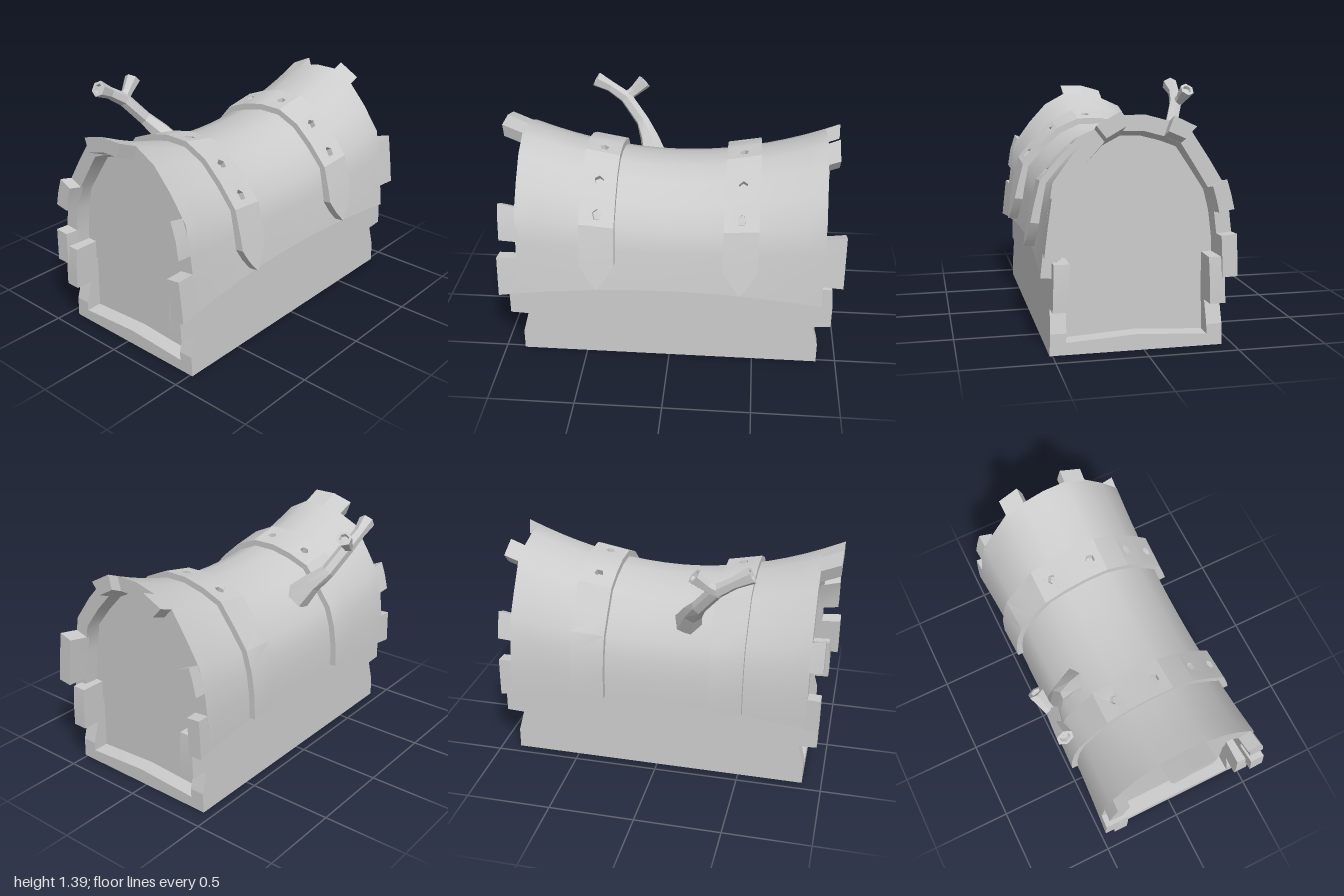
import * as THREE from 'three';
import { mergeGeometries, toCreasedNormals } from 'three/addons/utils/BufferGeometryUtils.js';

// Lid profile at the ends as [z, y], from the front edge over the top to the back edge
const PROFILE = [
  [0.56, 0.43], [0.545, 0.56], [0.52, 0.75], [0.49, 0.93], [0.38, 1.08],
  [0.27, 1.2], [0.14, 1.27], [0, 1.27], [-0.13, 1.235], [-0.25, 1.18],
  [-0.35, 1.03], [-0.43, 0.9], [-0.465, 0.76], [-0.485, 0.6], [-0.49, 0.41],
];
const LAST = PROFILE.length - 1;
const NORMALS = PROFILE.map((_, i) => {
  const a = PROFILE[Math.max(i - 1, 0)], b = PROFILE[Math.min(i + 1, LAST)];
  const dz = b[0] - a[0], dy = b[1] - a[1], l = Math.hypot(dz, dy);
  return [dy / l, -dz / l];
});
const lerp = THREE.MathUtils.lerp;

// Point on the saddle-shaped lid: x along it, t around the profile, off outwards
function lidPoint(x, t, off) {
  const i = Math.min(Math.floor(t), LAST - 1), f = t - i;
  const mix = (list, c) => lerp(list[i][c], list[i + 1][c], f);
  const k = 1 - (x / 0.88) ** 2;
  const y = mix(PROFILE, 1), z = mix(PROFILE, 0) * (1 - 0.06 * k);
  const sagY = lerp(y, 0.47 + (y - 0.43) * 0.738, k);
  return new THREE.Vector3(x, sagY + off * mix(NORMALS, 1), z + off * mix(NORMALS, 0));
}

// Moves every vertex of a geometry by a rule
function warp(geo, rule) {
  const p = geo.attributes.position;
  for (let i = 0; i < p.count; i++) {
    const v = rule(p.getX(i), p.getY(i), p.getZ(i));
    p.setXYZ(i, v.x, v.y, v.z);
  }
  return geo;
}

// Curved slab of the lid between x0..x1 and t0..t1
function lidSlab(x0, x1, t0, t1, nx, nt, inner, outer) {
  const g = new THREE.BoxGeometry(x1 - x0, t1 - t0, outer - inner, nx, nt, 1);
  g.translate((x0 + x1) / 2, (t0 + t1) / 2, (inner + outer) / 2);
  return warp(g, lidPoint);
}

const shapeOf = (pts) => new THREE.Shape(pts.map(([a, b]) => new THREE.Vector2(a, b)));
const extrude = (shape, depth) =>
  new THREE.ExtrudeGeometry(shape, { depth, bevelEnabled: false });

// Extrudes a [z, y] outline along x
function acrossX(pts, x0, x1) {
  const g = extrude(shapeOf(pts.map(([z, y]) => [-z, y])), x1 - x0);
  return g.rotateY(Math.PI / 2).translate(x0, 0, 0);
}

// Strap bent over the lid, cell by cell, with pentagonal nail holes
function strapGeometry(cx) {
  const holes = [3.4, 4.68, 6.45, 8.3];
  const stops = [0.3, 1, 1.5, 2, 3, 4, 5, 6, 7, 8, 9, 10, 11, 12, 13, 13.95];
  const half = (t) => 0.1 * Math.min(1, Math.max(0.02, (t - 0.3) / 1.2));
  const cells = [];
  for (let i = 0; i < stops.length - 1; i++) {
    const a = stops[i], b = stops[i + 1], wa = half(a), wb = half(b);
    const shape = shapeOf([[cx - wa, a], [cx + wa, a], [cx + wb, b], [cx - wb, b]]);
    for (const h of holes.filter((t) => t > a && t < b)) {
      const ring = [];
      for (let k = 0; k < 5; k++) {
        const q = (k / 5) * Math.PI * 2 + 0.3;
        ring.push(new THREE.Vector2(cx + 0.028 * Math.cos(q), h + 0.2 * Math.sin(q)));
      }
      shape.holes.push(new THREE.Path(ring));
    }
    cells.push(extrude(shape, 1));
  }
  // Thicker towards the pointed tip
  return warp(mergeGeometries(cells), (x, t, d) =>
    lidPoint(x, t, lerp(-0.01, 0.038 + 0.025 * Math.max(0, 1 - t / 3), d)));
}

// Faceted limb through [x, y, z, radius] points, ending in a hollowed cut
function limbGeometry(path, sides = 6) {
  const pts = path.map(([x, y, z]) => new THREE.Vector3(x, y, z));
  const n = pts.length, rings = [];
  for (let i = 0; i < n; i++) {
    const dir = pts[Math.min(i + 1, n - 1)].clone().sub(pts[Math.max(i - 1, 0)]).normalize();
    rings.push({ c: pts[i], r: path[i][3], dir });
  }
  const { c, r, dir } = rings[n - 1];
  const back = c.clone().addScaledVector(dir, -0.02);
  rings.push({ c, r: r * 0.62, dir }, { c: back, r: r * 0.5, dir }, { c: back, r: 0.0005, dir });
  const pos = [], index = [];
  rings.forEach((ring, i) => {
    const u = new THREE.Vector3(0, 0, 1).cross(ring.dir).normalize();
    const v = ring.dir.clone().cross(u);
    for (let k = 0; k < sides; k++) {
      const q = (k / sides) * Math.PI * 2;
      const p = ring.c.clone().addScaledVector(u, ring.r * Math.cos(q)).addScaledVector(v, ring.r * Math.sin(q));
      pos.push(p.x, p.y, p.z);
      if (i) {
        const a = (i - 1) * sides + k, b = (i - 1) * sides + ((k + 1) % sides);
        index.push(a, b, b + sides, a, b + sides, a + sides);
      }
    }
  });
  const g = new THREE.BufferGeometry();
  g.setAttribute('position', new THREE.Float32BufferAttribute(pos, 3));
  g.setIndex(index);
  return toCreasedNormals(g, 0.1);
}

export function createModel() {
  const group = new THREE.Group();
  const material = new THREE.MeshStandardMaterial({ color: 0xcccccc });
  const add = (name, geo, crease = 0.2) => {
    const mesh = new THREE.Mesh(toCreasedNormals(geo, crease), material);
    mesh.name = name;
    group.add(mesh);
  };

  // Base widens slightly towards the floor
  const taper = (geo) => warp(geo, (x, y, z) =>
    new THREE.Vector3(x, y, 0.037 + (z - 0.037) * (1 + 0.035 * (1 - y / 0.47))));
  const front = 0.5, rear = -0.425;
  add('baseBody', taper(acrossX([[front, 0], [front, 0.47], [rear, 0.47], [rear, 0]], -0.79, 0.79)));
  for (const s of [-1, 1]) {
    const side = s < 0 ? 'right' : 'left';
    // Sill and corner posts framing the recessed end
    const sill = [[front, 0], [0.46, 0.065], [0.04, 0.09], [-0.37, 0.065], [rear, 0]];
    add(side + 'Sill', taper(acrossX(sill, s < 0 ? -0.885 : 0.78, s < 0 ? -0.78 : 0.885)));
    const post = [[0.78, 0], [0.885, 0], [0.885, 0.12], [0.85, 0.25], [0.955, 0.255],
      [0.955, 0.4], [0.945, 0.51], [0.78, 0.51]].map(([x, y]) => [x * s, y]);
    for (const [name, z0] of [['FrontPost', front - 0.085], ['BackPost', rear]]) {
      add(side + name, taper(extrude(shapeOf(post), 0.085).translate(0, 0, z0)));
    }
    // End panel under the lid
    const arch = [];
    for (let t = 0; t <= LAST; t++) {
      const p = lidPoint(0.8, t, -0.07);
      arch.push([p.z, t === 0 || t === LAST ? 0.4 : p.y]);
    }
    add(side + 'LidPanel', acrossX(arch, s < 0 ? -0.8 : 0.75, s < 0 ? -0.75 : 0.8));
  }

  // Sagging lid shell
  add('lid', lidSlab(-0.885, 0.885, 0, LAST, 16, LAST, -0.085, 0), 0.75);

  // Broken teeth along the lid ends: [end x, t0, t1]
  const teeth = [
    [1, 1, 2.55], [0.95, 5, 6], [0.97, 8, 9], [0.96, 10.9, 12], [0.96, 12.8, 14],
    [-1, 0, 1.5], [-0.98, 2.05, 3.2], [-1, 6, 8], [-0.96, 10.8, 12], [-0.96, 13, 14],
  ];
  for (const [x, t0, t1] of teeth) {
    const root = 0.87 * Math.sign(x);
    add('lidTooth', lidSlab(Math.min(x, root), Math.max(x, root), t0, t1, 1, 2, -0.085, 0));
  }

  for (const cx of [-0.415, 0.41]) add('strap', strapGeometry(cx), 0.35);

  // Forked twig growing from the back of the lid
  add('twig', limbGeometry([
    [-0.16, 0.92, -0.3, 0.085], [-0.2, 1.02, -0.38, 0.06], [-0.25, 1.1, -0.46, 0.043],
    [-0.36, 1.235, -0.52, 0.042], [-0.46, 1.3, -0.535, 0.036], [-0.55, 1.35, -0.53, 0.05],
  ]), 0.1);
  add('twigFork', limbGeometry([
    [-0.38, 1.22, -0.52, 0.03], [-0.31, 1.27, -0.545, 0.034], [-0.245, 1.33, -0.565, 0.048],
  ]), 0.1);

  return group;
}
